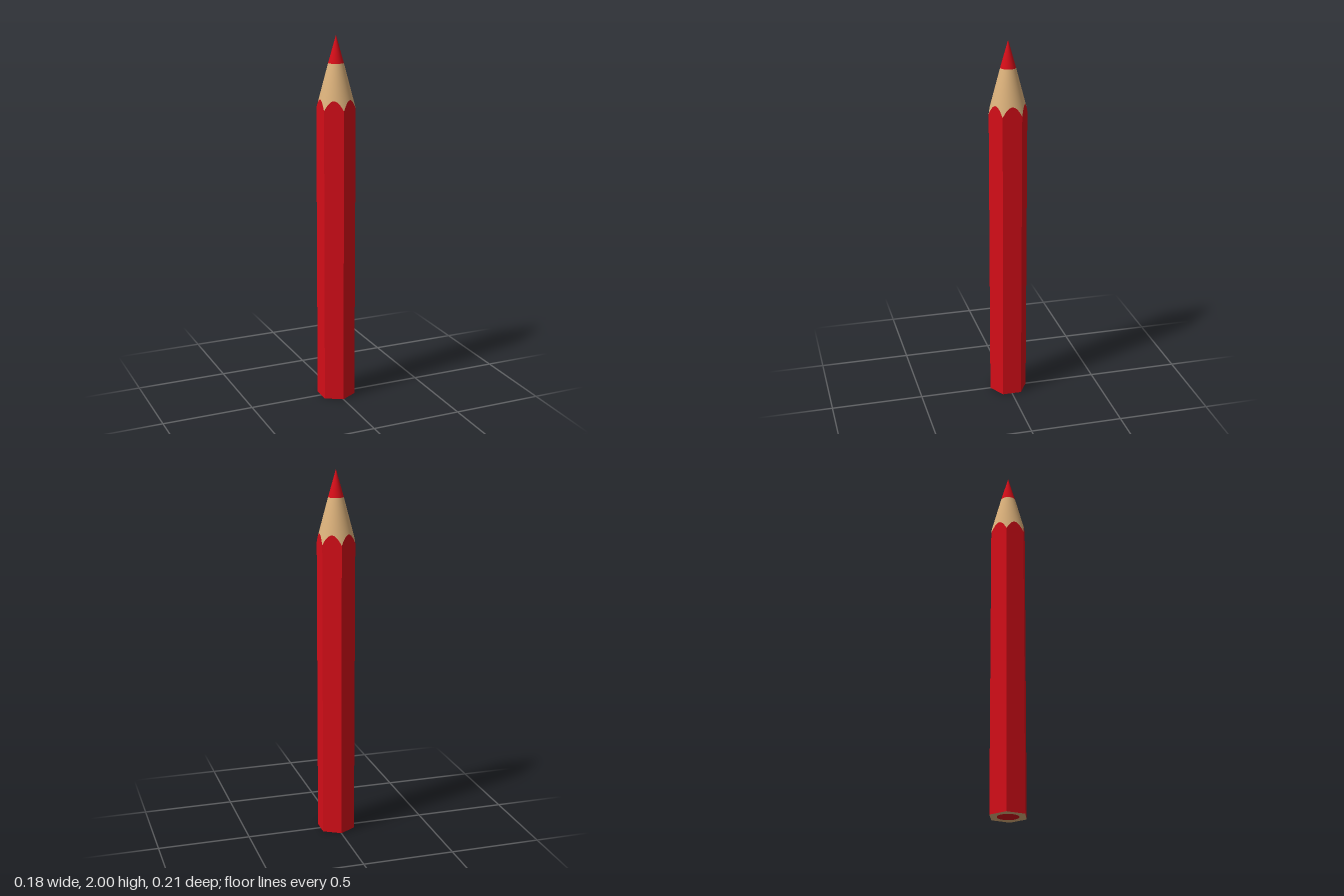
import * as THREE from 'three';

const APOTHEM = 0.09, CORNER = APOTHEM / Math.cos(Math.PI / 6);
const LEAD_R = 0.041, LEAD_Y = 1.855, CORE_R = 0.057;
const SLOPE = 3.8; // drop of the sharpened wood per unit of radius
const SEGMENTS = 96; // multiple of 6, so that every corner gets a vertex

const RED = 0xd40d18, WOOD = 0xdab07a;

// Radius of the hexagonal shaft, with corners on +z and -z
function hexRadius(angle) {
  const step = Math.PI / 3;
  const a = ((angle % step) + step) % step;
  return APOTHEM / Math.cos(a - step / 2);
}

const sharpenedY = (r) => LEAD_Y - SLOPE * (r - LEAD_R);

// Move one ring of an open cylinder onto the scalloped cut between cone and hexagon
function fitRings(geometry, moveRing) {
  const p = geometry.attributes.position;
  const perRing = SEGMENTS + 1;
  for (let i = 0; i < p.count; i++) {
    const angle = ((i % perRing) / SEGMENTS) * Math.PI * 2;
    const ring = moveRing(i < perRing, hexRadius(angle));
    if (ring) p.setXYZ(i, ring.r * Math.sin(angle), ring.y, ring.r * Math.cos(angle));
  }
  return geometry;
}

export function createModel() {
  const group = new THREE.Group();

  function add(name, geometry, color, flatShading = false) {
    const mesh = new THREE.Mesh(geometry, new THREE.MeshStandardMaterial({ color, flatShading }));
    mesh.name = name;
    group.add(mesh);
    return mesh;
  }

  // Painted shaft: six flat sides with a scalloped upper edge
  const shaft = fitRings(
    new THREE.CylinderGeometry(1, 1, 1, SEGMENTS, 1, true),
    (top, r) => ({ r, y: top ? sharpenedY(r) : 0 })
  );
  add('paintedShaft', shaft, RED, true);

  // Sharpened wood: a smooth cone whose lower edge follows the scallops
  const height = SLOPE * (CORNER - LEAD_R);
  const wood = new THREE.CylinderGeometry(LEAD_R, CORNER, height, SEGMENTS, 1, true);
  wood.translate(0, LEAD_Y - height / 2, 0);
  fitRings(wood, (top, r) => (top ? null : { r, y: sharpenedY(r) }));
  add('sharpenedWood', wood, WOOD);

  // Pointed lead
  const tip = new THREE.ConeGeometry(LEAD_R, 2 - LEAD_Y, SEGMENTS, 1, true);
  tip.translate(0, (2 + LEAD_Y) / 2, 0);
  add('leadTip', tip, RED);

  // Flat end: wooden hexagon around the lead core
  const hexagon = new THREE.Shape();
  for (let i = 0; i < 6; i++) {
    const a = (i * Math.PI) / 3;
    const x = -CORNER * Math.sin(a), y = CORNER * Math.cos(a);
    if (i === 0) hexagon.moveTo(x, y);
    else hexagon.lineTo(x, y);
  }
  hexagon.closePath();
  hexagon.holes.push(new THREE.Path().absarc(0, 0, CORE_R, 0, Math.PI * 2, true));
  add('woodEnd', new THREE.ShapeGeometry(hexagon, 24).rotateX(Math.PI / 2), WOOD);
  add('leadCoreEnd', new THREE.CircleGeometry(CORE_R, 48).rotateX(Math.PI / 2), RED);

  return group;
}
